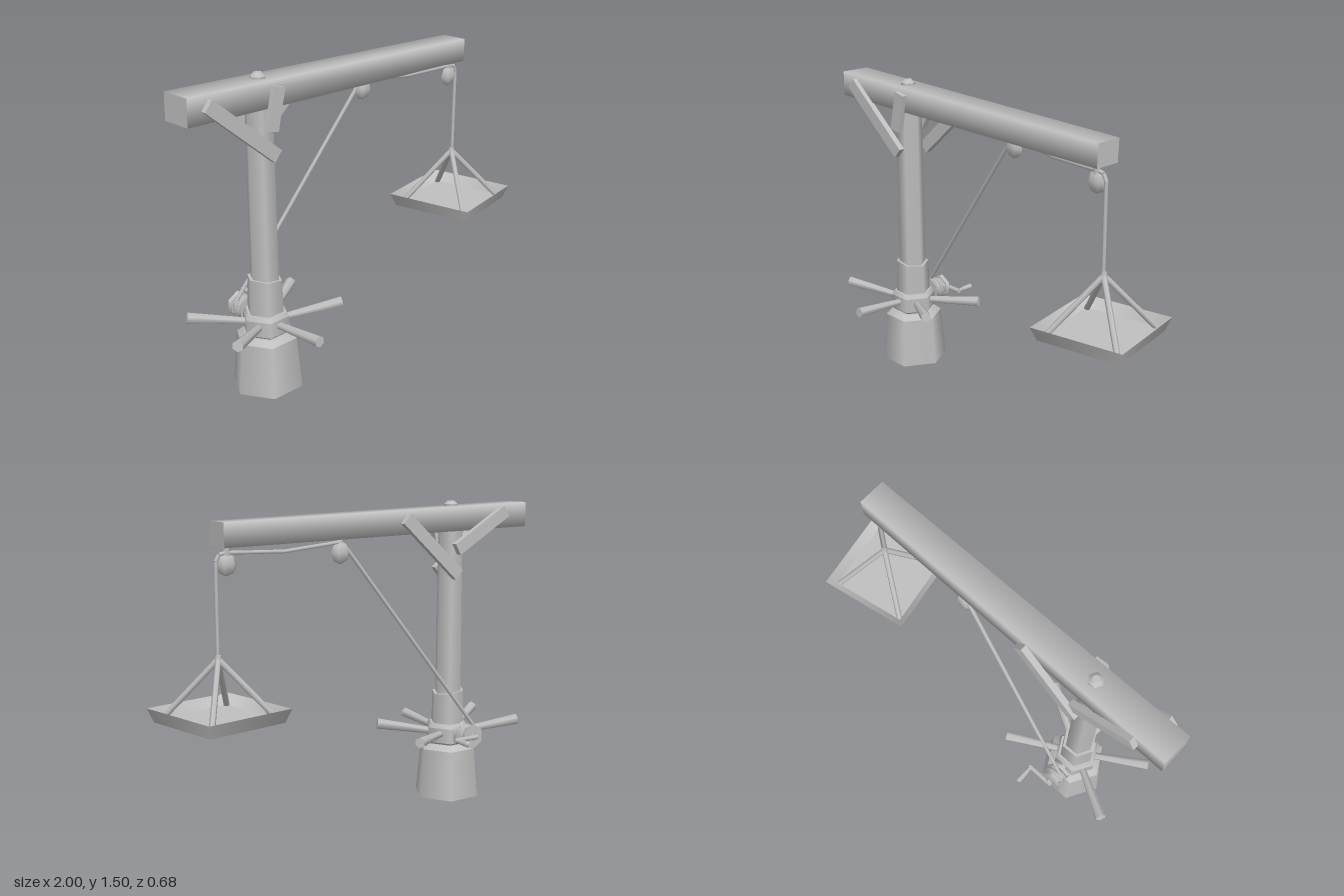
import * as THREE from 'three';

const V = (x, y, z) => new THREE.Vector3(x, y, z);
const POST_X = -0.57, POST_Z = -0.02;

export function createModel() {
  const model = new THREE.Group();
  model.name = 'craneWithHangingTray';
  const grey = new THREE.MeshStandardMaterial({ color: 0xc0c0c0 });
  grey.name = 'plain grey';

  const add = (name, geometry, parent = model) => {
    const mesh = new THREE.Mesh(geometry, grey);
    mesh.name = name;
    parent.add(mesh);
    return mesh;
  };
  const group = (name) => {
    const g = new THREE.Group();
    g.name = name;
    model.add(g);
    return g;
  };

  // Tapered rod between two points
  const rod = (name, a, b, ra, rb, sides = 6, parent = model) => {
    const dir = b.clone().sub(a);
    const mesh = add(name, new THREE.CylinderGeometry(rb, ra, dir.length(), sides), parent);
    mesh.position.copy(a).add(b).multiplyScalar(0.5);
    mesh.quaternion.setFromUnitVectors(V(0, 1, 0), dir.normalize());
    return mesh;
  };

  // Upright six-sided section on the post axis, with corners towards +x and -x
  const section = (name, y0, y1, r0, r1) => {
    const geo = new THREE.CylinderGeometry(r1, r0, y1 - y0, 6, 1, false, Math.PI / 2);
    const mesh = add(name, geo);
    mesh.position.set(POST_X, (y0 + y1) / 2, POST_Z);
    return mesh;
  };

  // Base, hub, sleeve and post
  section('base', 0, 0.25, 0.17, 0.147);
  section('baseShoulder', 0.25, 0.275, 0.147, 0.115);
  section('hubLowerEdge', 0.27, 0.285, 0.098, 0.11);
  section('hub', 0.285, 0.36, 0.113, 0.113);
  section('hubUpperEdge', 0.36, 0.38, 0.113, 0.1);
  section('post', 0.36, 1.39, 0.07, 0.064);
  const sleeve = section('sleeve', 0.37, 0.543, 0.088, 0.084);
  const sp = sleeve.geometry.attributes.position;
  for (let i = 0; i < sp.count; i++) { // slanted upper rim
    if (sp.getY(i) > 0) sp.setY(i, sp.getY(i) - sp.getX(i) * 0.14);
  }

  // Beam: a square bar, slightly thinner and lower towards its far end
  const beamGeo = new THREE.CylinderGeometry(0.078, 0.087, 1.724, 4, 1, false, Math.PI / 4);
  beamGeo.rotateZ(-Math.PI / 2);
  beamGeo.scale(1, 1, 1.22);
  const beam = add('beam', beamGeo);
  beam.position.set(-0.138, 1.409, POST_Z);
  beam.rotation.z = -0.023;

  // Pin through the beam above the post
  section('pin', 1.44, 1.488, 0.036, 0.036);
  section('pinHead', 1.488, 1.505, 0.036, 0.018);

  // Flat braces: lower end, upper end, depth
  const braces = group('braces');
  const brace = (name, x0, y0, x1, y1, z) => {
    const len = Math.hypot(x1 - x0, y1 - y0);
    const mesh = add(name, new THREE.BoxGeometry(len, 0.062, 0.03), braces);
    mesh.position.set((x0 + x1) / 2, (y0 + y1) / 2, z);
    mesh.rotation.z = Math.atan2(y1 - y0, x1 - x0);
  };
  brace('frontLongBrace', -0.55, 1.145, -0.91, 1.445, 0.064);
  brace('frontShortBrace', -0.572, 1.26, -0.528, 1.45, 0.06);
  brace('backLongBrace', -0.55, 1.145, -0.23, 1.43, -0.107);
  brace('backShortBrace', -0.54, 1.27, -0.85, 1.45, -0.107);

  // Turning spokes, one every 60 degrees except where the winch sits
  const spokes = group('spokes');
  const spokeEnds = [[0, 0.352], [60, 0.372], [120, 0.35], [240, 0.385], [300, 0.382]];
  for (const [deg, y] of spokeEnds) {
    const a = THREE.MathUtils.degToRad(deg), s = Math.sin(a), c = Math.cos(a);
    rod('spoke', V(POST_X + 0.08 * s, 0.33, POST_Z + 0.08 * c),
      V(POST_X + 0.363 * s, y, POST_Z + 0.363 * c), 0.017, 0.027, 6, spokes);
  }

  // Winch spool and crank
  const winch = group('winch');
  const W = (z, x = POST_X, y = 0.34) => V(x, y, z);
  rod('axle', W(-0.08), W(-0.24), 0.018, 0.018, 6, winch);
  rod('innerFlange', W(-0.138), W(-0.153), 0.062, 0.056, 6, winch);
  rod('spool', W(-0.15), W(-0.215), 0.046, 0.046, 6, winch);
  rod('outerFlange', W(-0.21), W(-0.226), 0.056, 0.064, 6, winch);
  rod('crankArm', W(-0.236, -0.59), W(-0.236, -0.445), 0.012, 0.012, 6, winch);
  rod('crankStem', W(-0.23, -0.455), W(-0.27, -0.455), 0.01, 0.01, 6, winch);
  rod('crankGrip', W(-0.265, -0.455), W(-0.325, -0.455), 0.013, 0.016, 6, winch);
  rod('crankTip', W(-0.325, -0.455), W(-0.335, -0.455), 0.016, 0.008, 6, winch);
  for (const z of [-0.165, -0.185]) { // rope wound on the spool
    const coil = add('ropeCoil', new THREE.TorusGeometry(0.046, 0.011, 5, 10), winch);
    coil.position.copy(W(z));
  }

  // Pulleys hung below the beam
  const pulley = (x, y, z) => {
    const g = group('pulley');
    const wheel = add('pulleyWheel', new THREE.SphereGeometry(0.052, 6, 4), g);
    wheel.position.set(x, y, z);
    wheel.scale.z = 0.52;
    rod('pulleyHook', V(x, y + 0.03, z), V(x, 1.36, z * 0.7), 0.018, 0.014, 5, g);
  };
  pulley(0.12, 1.283, -0.072);
  pulley(0.675, 1.255, -0.01);

  // Rope from the spool over both pulleys down to the tray
  const rope = group('rope');
  const path = [V(-0.61, 0.385, -0.18), V(0.1, 1.318, -0.075), V(0.13, 1.332, -0.07),
    V(0.4, 1.302, -0.042), V(0.68, 1.307, -0.01), V(0.712, 1.3, -0.01),
    V(0.728, 1.27, -0.01), V(0.73, 0.84, -0.015)];
  for (let i = 1; i < path.length; i++) {
    rod('ropeLength', path[i - 1], path[i], 0.0095, 0.0095, 6, rope);
  }

  // Square tray with sloping rim, turned a little about its rope
  const tray = group('tray');
  tray.position.set(0.73, 0, -0.018);
  tray.rotation.y = 0.187;
  const ring = (name, h0, y0, h1, y1) => { // four-sided band from one square to another
    const k = Math.SQRT2;
    const geo = new THREE.LatheGeometry(
      [new THREE.Vector2(h0 * k, y0), new THREE.Vector2(h1 * k, y1)], 4, Math.PI / 4);
    add(name, geo, tray);
  };
  ring('trayUnderside', 0, 0.552, 0.207, 0.552);
  ring('trayOuterRim', 0.207, 0.552, 0.23, 0.617);
  ring('trayInnerRim', 0.23, 0.617, 0.19, 0.572);
  ring('trayFloor', 0.19, 0.572, 0, 0.572);

  // Four hangers from the rope end to the tray corners
  for (const sx of [-1, 1]) {
    for (const sz of [-1, 1]) {
      rod('trayHanger', V(sx * 0.182, 0.57, sz * 0.182), V(0, 0.84, 0), 0.014, 0.014, 6, tray);
    }
  }
  rod('hangerKnot', V(0, 0.815, 0), V(0, 0.858, 0), 0.022, 0.013, 6, tray);

  return model;
}
